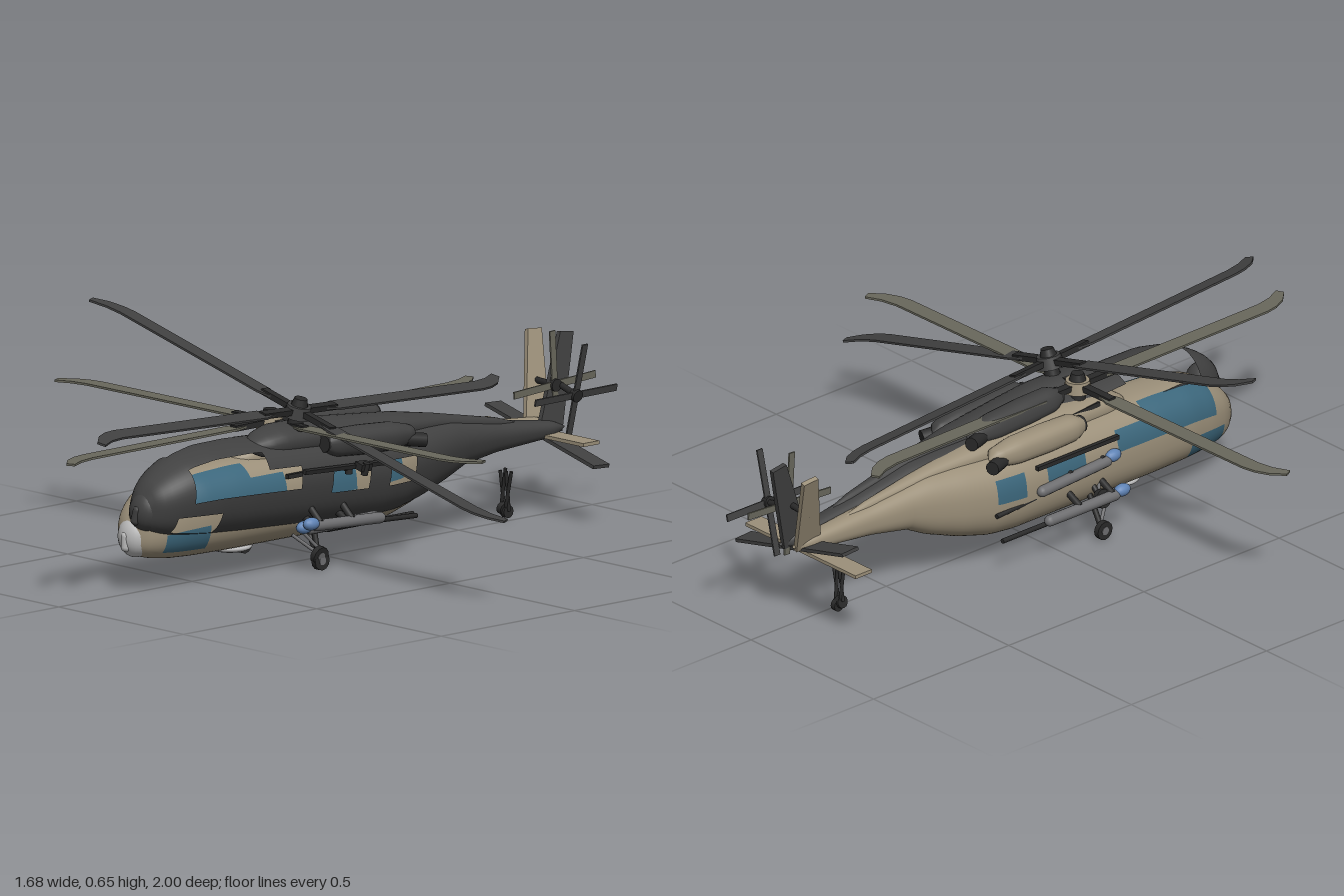
import * as THREE from 'three';

const mat = (name, color) => {
  const m = new THREE.MeshStandardMaterial({ color });
  m.name = name;
  return m;
};
const V = (x, y, z) => new THREE.Vector3(x, y, z);

// Skin lofted through stations [z, half width, bottom, top]; pick() chooses a material per cell, null leaves a hole
function loft(stations, n, pick, step = 0.02) {
  const zs = [];
  const z0 = stations[0][0], z1 = stations[stations.length - 1][0];
  const count = Math.round((z0 - z1) / step);
  for (let i = 0; i <= count; i++) zs.push(z0 + ((z1 - z0) * i) / count);
  const pos = [];
  for (const z of zs) {
    let k = 0;
    while (k < stations.length - 2 && z < stations[k + 1][0]) k++;
    const a = stations[k], b = stations[k + 1], t = (a[0] - z) / (a[0] - b[0]);
    const [w, lo, hi] = [1, 2, 3].map((q) => a[q] + (b[q] - a[q]) * t);
    for (let j = 0; j < n; j++) {
      const c = Math.cos((j / n) * Math.PI * 2), s = Math.sin((j / n) * Math.PI * 2);
      pos.push(w * Math.sign(c) * Math.abs(c) ** 0.82, (lo + hi) / 2 + ((hi - lo) / 2) * Math.sign(s) * Math.abs(s) ** 0.82, z);
    }
  }
  const faces = new Map();
  for (let i = 0; i < zs.length - 1; i++) for (let j = 0; j < n; j++) {
    const ang = ((j + 0.5) / n) * Math.PI * 2;
    const elevation = THREE.MathUtils.radToDeg(Math.asin(Math.sin(ang)));
    const m = pick((zs[i] + zs[i + 1]) / 2, elevation);
    const a = i * n + j, b = i * n + ((j + 1) % n), c = a + n, d = b + n;
    if (!faces.has(m)) faces.set(m, []);
    faces.get(m).push(a, c, b, b, c, d);
  }
  const geo = new THREE.BufferGeometry();
  geo.setAttribute('position', new THREE.Float32BufferAttribute(pos, 3));
  geo.setIndex([...faces.values()].flat());
  geo.computeVertexNormals();
  const mats = [], index = [];
  for (const [m, f] of faces) if (m) {
    geo.addGroup(index.length, f.length, mats.length);
    index.push(...f);
    mats.push(m);
  }
  geo.setIndex(index);
  return [geo, mats];
}

// Flat plate from an outline, extruded along its thickness
function plate(points, depth) {
  const shape = new THREE.Shape(points.map((p) => new THREE.Vector2(...p)));
  const geo = new THREE.ExtrudeGeometry(shape, { depth, bevelEnabled: false });
  return geo.translate(0, 0, -depth / 2);
}

const BODY = [
  [0.73, 0.001, 0.15, 0.155], [0.722, 0.035, 0.12, 0.2], [0.7, 0.06, 0.1, 0.228], [0.66, 0.085, 0.086, 0.262],
  [0.6, 0.103, 0.078, 0.295], [0.52, 0.115, 0.074, 0.315], [0.4, 0.12, 0.072, 0.322], [-0.12, 0.121, 0.072, 0.322],
  [-0.2, 0.115, 0.079, 0.322], [-0.3, 0.096, 0.105, 0.322], [-0.4, 0.072, 0.142, 0.318], [-0.47, 0.058, 0.178, 0.307],
  [-0.6, 0.04, 0.202, 0.288], [-0.82, 0.024, 0.225, 0.268], [-0.87, 0.001, 0.245, 0.25],
];
const COWL = [
  [0.35, 0.01, 0.3, 0.31], [0.32, 0.045, 0.28, 0.338], [0.26, 0.058, 0.28, 0.358], [0.1, 0.06, 0.28, 0.365],
  [-0.2, 0.05, 0.28, 0.352], [-0.36, 0.03, 0.28, 0.335], [-0.6, 0.015, 0.24, 0.3], [-0.72, 0.004, 0.24, 0.27],
];
const POD = [
  [0.13, 0.022, 0.305, 0.345], [0.1, 0.036, 0.288, 0.362], [0, 0.04, 0.285, 0.365], [-0.12, 0.038, 0.287, 0.363],
  [-0.19, 0.026, 0.3, 0.35], [-0.21, 0.001, 0.324, 0.326],
];
const HUB = V(0, 0.4, 0.185);

function helicopter(name, m) {
  const g = new THREE.Group(), inner = new THREE.Group();
  g.name = name;
  g.add(inner);
  inner.position.copy(HUB).negate();
  const add = (part, geo, material, x = 0, y = 0, z = 0, parent = inner) => {
    const mesh = new THREE.Mesh(geo, material);
    mesh.name = part;
    mesh.position.set(x, y, z);
    parent.add(mesh);
    return mesh;
  };
  const box = (part, w, h, d, material, x, y, z) => add(part, new THREE.BoxGeometry(w, h, d), material, x, y, z);
  const rod = (part, a, b, r, material, r2 = r) => {
    const d = b.clone().sub(a);
    const mesh = add(part, new THREE.CylinderGeometry(r2, r, d.length(), 12), material);
    mesh.position.copy(a).addScaledVector(d, 0.5);
    mesh.quaternion.setFromUnitVectors(V(0, 1, 0), d.normalize());
    return mesh;
  };

  // Fuselage with cockpit glazing and cabin windows
  const inRange = (v, a, b) => v > a && v < b;
  add('fuselage', ...loft(BODY, 48, (z, e) => {
    if (inRange(z, 0.34, 0.62) && inRange(e, 7, 68)) return m.glass;
    if (inRange(z, 0.23, 0.34) && inRange(e, 7, 38)) return m.glass;
    if (inRange(z, 0.5, 0.645) && inRange(e, -46, -7)) return m.glass;
    if ((inRange(z, -0.03, 0.1) || inRange(z, -0.21, -0.12)) && inRange(e, 0, 30)) return m.glass;
    return m.body;
  }));
  add('roofCowl', ...loft(COWL, 24, () => m.body));
  const radome = add('noseRadome', new THREE.SphereGeometry(1, 24, 16), m.radome, 0, 0.15, 0.69);
  radome.scale.set(0.052, 0.058, 0.045);
  add('noseSensor', new THREE.CapsuleGeometry(0.014, 0.03, 6, 12), m.radome, 0, 0.14, 0.725);
  const dish = add('bellyDish', new THREE.SphereGeometry(1, 28, 12), m.pale, 0, 0.073, 0.335);
  dish.scale.set(0.062, 0.016, 0.062);

  for (const s of [-1, 1]) {
    // Engine, intake and exhaust
    const [podGeo, podMats] = loft(POD, 24, () => m.body);
    add('enginePod', podGeo, podMats, s * 0.073);
    rod('engineIntake', V(s * 0.073, 0.325, 0.12), V(s * 0.073, 0.325, 0.134), 0.024, m.black);
    rod('exhaust', V(s * 0.085, 0.315, -0.17), V(s * 0.105, 0.315, -0.225), 0.02, m.black);
    // Door rail
    box('doorRail', 0.012, 0.012, 0.3, m.black, s * 0.116, 0.268, 0.08);
    // Stores pylon with pods and sensor
    rod('pylon', V(s * 0.1, 0.16, 0.05), V(s * 0.16, 0.13, 0.05), 0.01, m.black);
    rod('pylon', V(s * 0.1, 0.16, 0.17), V(s * 0.16, 0.13, 0.17), 0.01, m.black);
    const tank = add('storesPod', new THREE.CapsuleGeometry(0.016, 0.24, 6, 14), m.grey, s * 0.158, 0.122, 0.06);
    tank.rotation.x = Math.PI / 2;
    rod('gunTube', V(s * 0.14, 0.105, 0.1), V(s * 0.14, 0.105, -0.22), 0.007, m.black);
    const eye = add('sensorHead', new THREE.SphereGeometry(0.018, 16, 12), m.blue, s * 0.16, 0.13, 0.205);
    eye.scale.z = 1.5;
    // Main landing gear
    rod('mainStrut', V(s * 0.09, 0.13, 0.14), V(s * 0.148, 0.028, 0.14), 0.008, m.black);
    rod('strutBrace', V(s * 0.105, 0.1, 0.2), V(s * 0.145, 0.045, 0.14), 0.005, m.grey);
    rod('mainWheel', V(s * 0.147, 0.027, 0.14), V(s * 0.163, 0.027, 0.14), 0.027, m.black);
    rod('wheelHub', V(s * 0.145, 0.027, 0.14), V(s * 0.165, 0.027, 0.14), 0.012, m.grey);
    // Tail wheel fork
    rod('tailStrut', V(s * 0.012, 0.135, -0.69), V(s * 0.009, 0.022, -0.703), 0.005, m.black);
  }
  rod('tailWheel', V(-0.008, 0.02, -0.703), V(0.008, 0.02, -0.703), 0.018, m.black);
  box('hoist', 0.03, 0.02, 0.04, m.black, 0.13, 0.272, 0.02);
  rod('hoistHead', V(0.14, 0.285, 0.02), V(0.14, 0.25, 0.02), 0.01, m.black);

  // Canted tail fin: outline in (-z, y)
  const fin = add('tailFin', plate([[0.77, 0], [0.86, 0], [0.915, 0.27], [0.865, 0.275]], 0.014).rotateY(Math.PI / 2),
    m.body, 0, 0.235, 0);
  fin.rotation.z = 0.35;
  box('stabilizer', 0.45, 0.01, 0.06, m.body, 0, 0.228, -0.81);

  // Tail rotor
  rod('tailRotorShaft', V(-0.05, 0.36, -0.855), V(0.048, 0.36, -0.845), 0.009, m.black);
  rod('tailRotorHub', V(0.03, 0.36, -0.845), V(0.05, 0.36, -0.845), 0.018, m.black);
  for (let i = 0; i < 4; i++) {
    const blade = add('tailRotorBlade', new THREE.BoxGeometry(0.005, 0.145, 0.02).translate(0, 0.08, 0),
      m.blade, 0.04, 0.36, -0.845);
    blade.rotation.x = (i * Math.PI) / 2 + 0.06;
  }

  // Main rotor with swept blade tips
  rod('mast', V(0, 0.34, 0.185), V(0, 0.39, 0.185), 0.026, m.black, 0.018);
  rod('rotorHub', V(0, 0.382, 0.185), V(0, 0.416, 0.185), 0.04, m.body, 0.034);
  rod('hubCap', V(0, 0.416, 0.185), V(0, 0.436, 0.185), 0.024, m.black, 0.018);
  const outline = [[-0.012, 0.1], [0.012, 0.1], [0.025, 0.14], [0.025, 0.7], [0.034, 0.75], [0.055, 0.795],
    [0.032, 0.805], [0, 0.77], [-0.018, 0.73], [-0.025, 0.69], [-0.025, 0.14]];
  for (let i = 0; i < 4; i++) {
    const arm = new THREE.Group();
    arm.name = 'rotorArm';
    arm.position.copy(HUB);
    arm.rotation.y = (i * Math.PI) / 2 + 0.015;
    inner.add(arm);
    add('rotorBlade', plate(outline, 0.006).rotateX(Math.PI / 2), m.blade, 0, 0, 0, arm);
    add('bladeGrip', new THREE.BoxGeometry(0.024, 0.016, 0.13), m.black, 0, 0, 0.075, arm);
  }
  return g;
}

export function createModel() {
  const tan = mat('tan', 0x9c907a), dark = mat('charcoal', 0x414141), glass = mat('blueGlass', 0x3c677c);
  const olive = mat('oliveGrey', 0x69685c), black = mat('black', 0x292929), pale = mat('paleGrey', 0xbababa);
  const grey = mat('midGrey', 0x6e6e70), blue = mat('lightBlue', 0x5f83b5);
  const model = new THREE.Group();
  model.name = 'helicopters';

  // Level tan aircraft
  const first = helicopter('tanHelicopter', { body: tan, glass, blade: olive, radome: pale, black, pale, grey, blue });
  first.position.set(-0.025, 0.4, 0.185);

  // Dark aircraft, rolled and pitched up, with open window frames
  const second = helicopter('darkHelicopter', { body: dark, glass: null, blade: dark, radome: dark, black, pale, grey, blue });
  second.position.set(0.073, 0.443, 0.17);
  second.rotation.set(-0.054, 0, -0.248, 'ZXY');

  model.add(first, second);
  return model;
}
